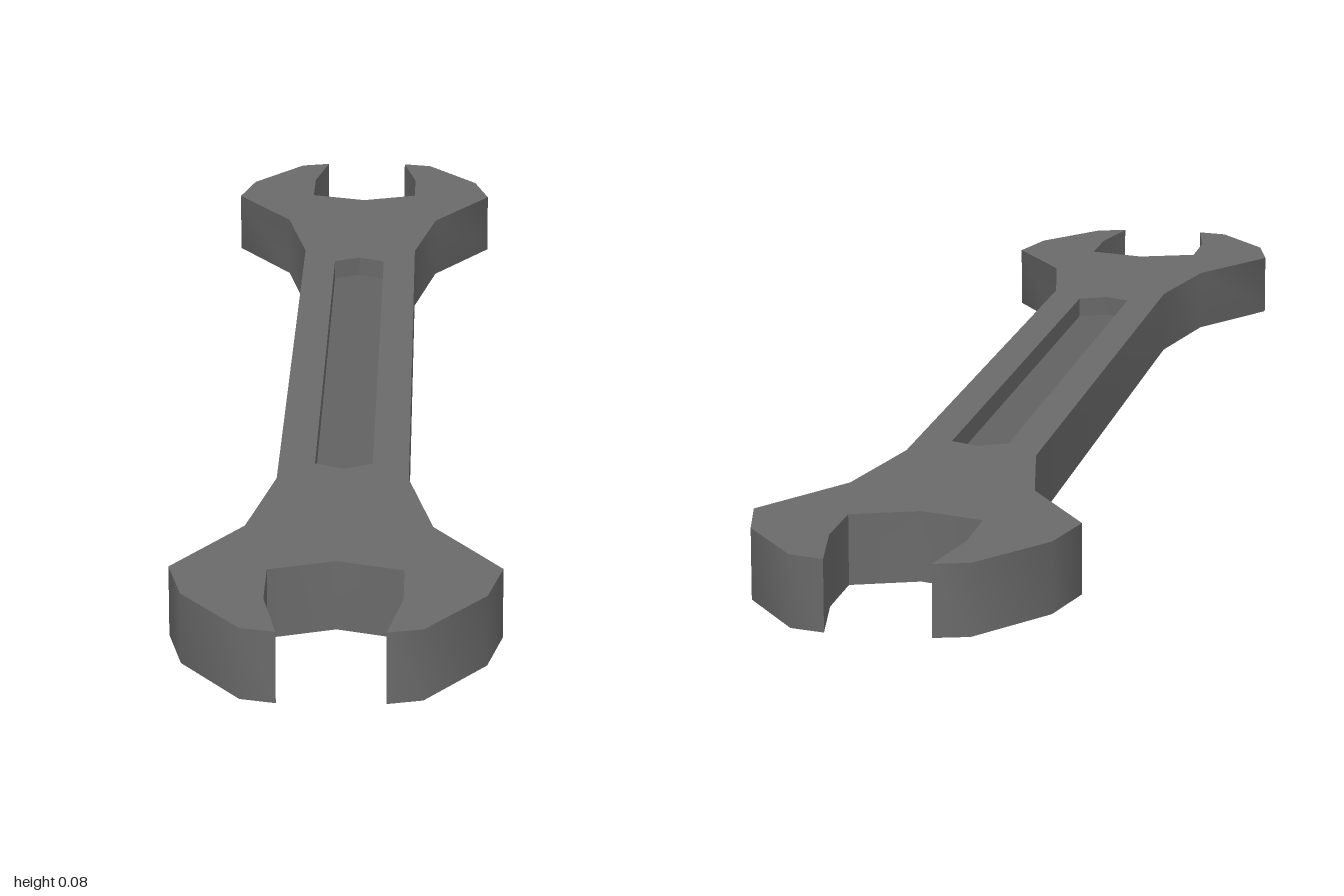
import * as THREE from 'three';
import { toCreasedNormals } from 'three/addons/utils/BufferGeometryUtils.js';

const THICKNESS = 0.08;
const GROOVE_DEPTH = 0.025;

// Mirror a quarter outline (x >= 0, z > 0) into a full closed loop, ordered counter-clockwise.
// The last point of the quarter lies on the centre line x = 0.
function mirrorLoop(quarter) {
  const mirrored = quarter.slice(0, -1).reverse().map(([x, z]) => [-x, z]);
  const half = [...quarter, ...mirrored];
  return [...half, ...half.map(([x, z]) => [-x, -z])].map(([x, z]) => new THREE.Vector2(x, z));
}

export function createModel() {
  const group = new THREE.Group();
  group.name = 'openEndedWrench';
  const steel = new THREE.MeshStandardMaterial({ color: 0x6a6a6a });
  const darkSteel = new THREE.MeshStandardMaterial({ color: 0x626262 });

  const add = (name, geometry, material, y) => {
    const mesh = new THREE.Mesh(geometry, material);
    mesh.name = name;
    mesh.position.y = y;
    group.add(mesh);
  };

  // Shank edge, flared neck, jaw outside, jaw tip, jaw inside, throat
  const outline = mirrorLoop([
    [0.077, 0.5], [0.106, 0.667], [0.183, 0.803], [0.165, 0.887], [0.097, 0.989],
    [0.058, 1], [0.075, 0.9], [0.075, 0.81], [0, 0.782],
  ]);
  // Long hexagon with blunt points
  const groove = mirrorLoop([[0.034, 0.445], [0, 0.464]]);

  // Body with both jaws, pierced by the groove outline
  const bodyShape = new THREE.Shape(outline);
  bodyShape.holes.push(new THREE.Path(groove));
  const body = new THREE.ExtrudeGeometry(bodyShape, { depth: THICKNESS, bevelEnabled: false });
  body.rotateX(Math.PI / 2);
  add('wrenchBody', toCreasedNormals(body, 0.8), steel, THICKNESS);

  // Recessed groove floors on the upper and lower faces
  const floor = new THREE.ShapeGeometry(new THREE.Shape(groove));
  add('upperGrooveFloor', floor.clone().rotateX(-Math.PI / 2), darkSteel, THICKNESS - GROOVE_DEPTH);
  add('lowerGrooveFloor', floor.clone().rotateX(Math.PI / 2), darkSteel, GROOVE_DEPTH);

  return group;
}
